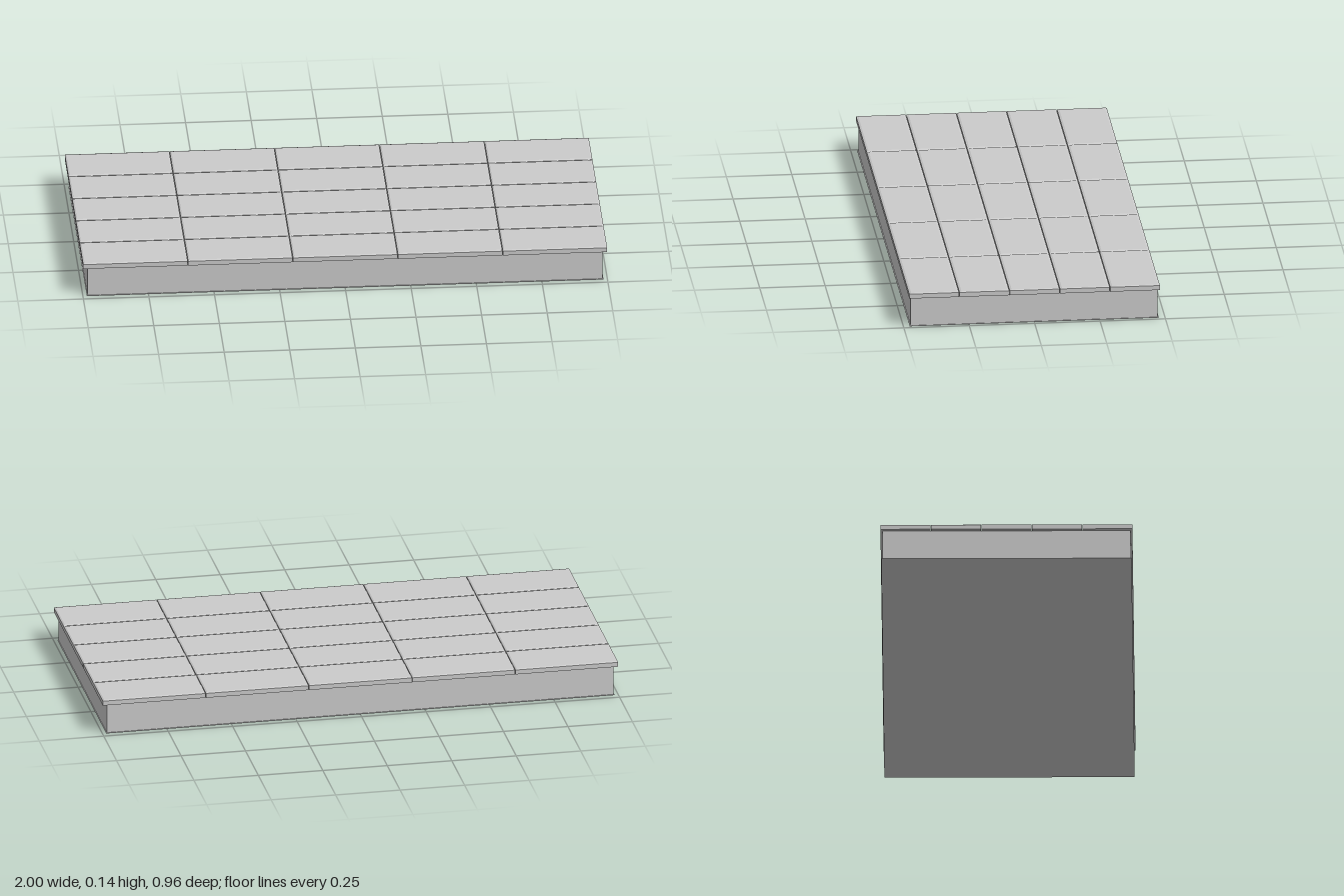
import * as THREE from 'three';

const material = new THREE.MeshStandardMaterial({ color: 0xcccccc, flatShading: true });

function box(name, w, h, d, y0) {
  const mesh = new THREE.Mesh(new THREE.BoxGeometry(w, h, d), material);
  mesh.name = name;
  mesh.position.y = y0 + h / 2;
  return mesh;
}

// Slab with a small chamfer around its top face
function tileGeometry(w, h, d, insetX, insetZ, drop) {
  const geo = new THREE.BoxGeometry(w, h, d, 1, 2, 1);
  const p = geo.attributes.position;
  for (let i = 0; i < p.count; i++) {
    const y = p.getY(i);
    if (Math.abs(y) < 1e-6) p.setY(i, h / 2 - drop);
    else if (y > 0) {
      p.setX(i, p.getX(i) - Math.sign(p.getX(i)) * insetX);
      p.setZ(i, p.getZ(i) - Math.sign(p.getZ(i)) * insetZ);
    }
  }
  const flat = geo.toNonIndexed();
  flat.computeVertexNormals();
  return flat;
}

export function createModel() {
  const group = new THREE.Group();
  group.name = 'tiledPlatform';

  // Solid plinth on a thin foot plate
  group.add(box('footPlate', 1.97, 0.002, 0.952, 0));
  group.add(box('plinth', 1.964, 0.115, 0.944, 0.002));

  // Overhanging 5 x 5 paving
  const cols = 5, rows = 5, pitchX = 0.4, pitchZ = 0.192, gap = 0.002;
  const height = 0.021;
  const geo = tileGeometry(pitchX - gap, height, pitchZ - gap, 0.006, 0.008, 0.003);
  const paving = new THREE.Group();
  paving.name = 'paving';
  for (let c = 0; c < cols; c++) {
    for (let r = 0; r < rows; r++) {
      const tile = new THREE.Mesh(geo, material);
      tile.name = `tile_${c}_${r}`;
      tile.position.set((c - 2) * pitchX, 0.117 + height / 2, (r - 2) * pitchZ);
      paving.add(tile);
    }
  }
  group.add(paving);
  return group;
}
